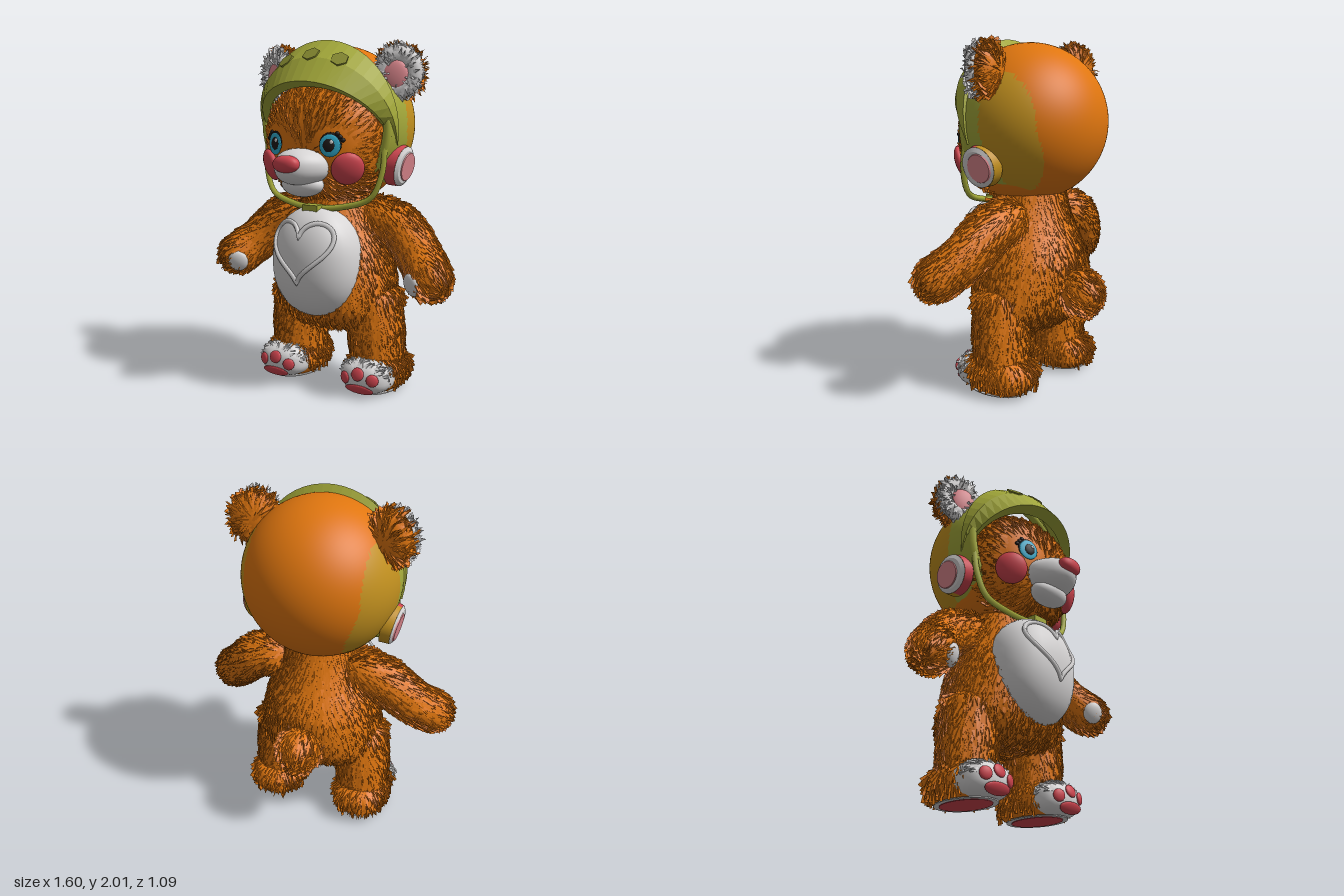
import * as THREE from 'three';
import { mergeVertices } from 'three/addons/utils/BufferGeometryUtils.js';

const V = (x, y, z) => new THREE.Vector3(x, y, z);
const { lerp, clamp } = THREE.MathUtils;
const paint = (name, color, side = THREE.FrontSide) => {
  const m = new THREE.MeshStandardMaterial({ color, side });
  m.name = name;
  return m;
};

// Small seeded generator
let seed = 7;
const rand = () => (seed = (seed * 16807) % 2147483647) / 2147483647;

// Welds seams and recomputes smooth normals
function smooth(geo) {
  geo.deleteAttribute('uv');
  geo.deleteAttribute('normal');
  const g = mergeVertices(geo, 1e-5);
  g.computeVertexNormals();
  return g;
}

// Rounded solid; e below 1 makes it boxier
function blob(c, rx, ry, rz, e = 1, seg = 28) {
  const g = new THREE.SphereGeometry(1, seg, Math.round(seg * 0.7));
  const p = g.attributes.position;
  const f = v => Math.sign(v) * Math.abs(v) ** e;
  for (let i = 0; i < p.count; i++) p.setXYZ(i, c.x + rx * f(p.getX(i)), c.y + ry * f(p.getY(i)), c.z + rz * f(p.getZ(i)));
  return smooth(g);
}

// Point and normal on the front of such a solid, raised by lift
function onBlob(c, r, e, x, y, lift) {
  const q = 2 / e, u = (x - c.x) / r.x, v = (y - c.y) / r.y;
  const w = Math.max(0.02, 1 - Math.abs(u) ** q - Math.abs(v) ** q) ** (1 / q);
  const g = (t, k) => Math.sign(t) * Math.abs(t) ** (q - 1) / k;
  const n = V(g(u, r.x), g(v, r.y), g(w, r.z)).normalize();
  return [V(x, y, c.z + w * r.z).addScaledVector(n, lift), n];
}

// Tapered tube with rounded ends
function limb(points, radii, round = 0.2) {
  const curve = new THREE.CatmullRomCurve3(points), n = 26, sides = 20;
  const g = new THREE.TubeGeometry(curve, n, 1, sides), p = g.attributes.position;
  for (let i = 0; i <= n; i++) {
    const u = i / n, c = curve.getPointAt(u), k = Math.min(u * (radii.length - 1), radii.length - 1.001);
    const d = Math.max(0, 1 - Math.min(u, 1 - u) / round);
    const r = lerp(radii[Math.floor(k)], radii[Math.floor(k) + 1], k % 1) * Math.sqrt(Math.max(1e-6, 1 - d * d));
    for (let j = 0; j <= sides; j++) {
      const id = i * (sides + 1) + j, q = V().fromBufferAttribute(p, id).sub(c).multiplyScalar(r).add(c);
      p.setXYZ(id, q.x, q.y, q.z);
    }
  }
  return smooth(g);
}

// Scatters short raised tufts over a surface, combed along flow(p)
function tufts(geo, flow, keep = () => true, density = 1900, len = 0.065) {
  const g = geo.toNonIndexed(), p = g.attributes.position, out = [];
  const [a, b, c] = [V(), V(), V()];
  for (let i = 0; i < p.count; i += 3) {
    [a, b, c].forEach((v, k) => v.fromBufferAttribute(p, i + k));
    const n = b.clone().sub(a).cross(c.clone().sub(a)), area = n.length() / 2;
    if (area < 1e-9) continue;
    n.normalize();
    const count = Math.floor(area * density + rand());
    for (let k = 0; k < count; k++) {
      let u = rand(), v = rand();
      if (u + v > 1) { u = 1 - u; v = 1 - v; }
      const o = a.clone().addScaledVector(b.clone().sub(a), u).addScaledVector(c.clone().sub(a), v);
      if (!keep(o)) continue;
      const d = flow(o).normalize().add(V(rand() - 0.5, rand() - 0.5, rand() - 0.5).multiplyScalar(0.5));
      d.addScaledVector(n, -d.dot(n)).normalize();
      const s = d.clone().cross(n), l = len * (0.6 + 0.7 * rand()), w = 0.007 + 0.005 * rand();
      const L = o.clone().addScaledVector(s, -w), R = o.clone().addScaledVector(s, w);
      const B = o.clone().addScaledVector(d, l).addScaledVector(n, -0.012);
      const T = B.clone().addScaledVector(n, 0.02);
      for (const q of [L, R, T, R, B, T, B, L, T]) out.push(q.x, q.y, q.z);
    }
  }
  const t = new THREE.BufferGeometry();
  t.setAttribute('position', new THREE.Float32BufferAttribute(out, 3));
  t.computeVertexNormals();
  return t;
}

export function createModel() {
  const orange = paint('orange', 0xe0760f), green = paint('olive green', 0xa4a93a, THREE.DoubleSide);
  const gold = paint('gold', 0xc3911f), white = paint('white', 0xd8d6d6), red = paint('red', 0xd0454f);
  const pink = paint('pink', 0xe08a90), blue = paint('blue', 0x33b0d2), black = paint('black', 0x1e1a1a);
  const darkGreen = paint('dark olive', 0x868a30);
  const model = new THREE.Group();
  const add = (name, geo, mat, parent = model) => {
    const m = new THREE.Mesh(geo, mat);
    m.name = name;
    parent.add(m);
    return m;
  };
  const furry = (name, geo, mat, flow, keep, parent = model, density, len) => {
    add(name, geo, mat, parent);
    add(name + 'Fur', tufts(geo, flow, keep, density, len), mat, parent);
  };
  // Thin disc lying against a surface, facing along n
  const patch = (name, [pos, n], rx, ry, mat, depth = 0.008) => {
    const m = add(name, new THREE.SphereGeometry(1, 20, 12), mat);
    m.position.copy(pos);
    m.scale.set(rx, ry, depth);
    m.quaternion.setFromUnitVectors(V(0, 0, 1), n.clone().normalize());
  };
  const down = p => V(p.x * 0.5, -1, 0);

  // Torso, rounder in depth towards the chest
  const profile = new THREE.SplineCurve([[0.001, 0.325], [0.25, 0.355], [0.36, 0.45], [0.368, 0.6], [0.322, 0.8],
    [0.26, 0.95], [0.22, 1.08], [0.2, 1.2]].map(q => new THREE.Vector2(...q))).getPoints(28);
  const torso = new THREE.LatheGeometry(profile, 36), tp = torso.attributes.position;
  for (let i = 0; i < tp.count; i++) {
    tp.setZ(i, tp.getZ(i) * lerp(0.74, 1, clamp((tp.getY(i) - 0.4) / 0.35, 0, 1)) - 0.03);
  }
  furry('torso', smooth(torso), orange, down);
  furry('tail', blob(V(0, 0.575, -0.4), 0.125, 0.138, 0.125), orange, p => V(p.x, -0.3, -0.5));

  // Belly patch with a raised heart outline
  const bc = V(0, 0.757, 0.19), br = V(0.27, 0.32, 0.22);
  add('belly', blob(bc, br.x, br.y, br.z, 0.93), white);
  const heart = [];
  for (let i = 0; i < 48; i++) {
    const t = i / 48 * Math.PI * 2, x = 0.19 * Math.sin(t) ** 3;
    const y = 0.86 + 0.0115 * (13 * Math.cos(t) - 5 * Math.cos(2 * t) - 2 * Math.cos(3 * t) - Math.cos(4 * t));
    heart.push(onBlob(bc, br, 0.93, x, y, 0.002)[0]);
  }
  add('heartOutline', new THREE.TubeGeometry(new THREE.CatmullRomCurve3(heart, true), 96, 0.014, 5, true), white);

  // Head
  const hc = V(0, 1.435, 0), hr = V(0.378, 0.352, 0.36), he = 0.84;
  const onFace = (x, y, lift) => onBlob(hc, hr, he, x, y, lift);
  const clearOfEyes = p => p.z > 0.08 && [-1, 1].every(s => Math.hypot(p.x - s * 0.17, p.y - 1.415) > 0.105);
  furry('head', blob(hc, hr.x, hr.y, hr.z, he, 40), orange, p => V(p.x, p.y - 1.36, 0), clearOfEyes);

  // Muzzle, narrowing towards the nose
  const muzzle = blob(V(0, 1.31, 0.36), 0.162, 0.1, 0.155, 0.9), mp = muzzle.attributes.position;
  for (let i = 0; i < mp.count; i++) mp.setX(i, mp.getX(i) * (1 - 2 * clamp(mp.getZ(i) - 0.36, 0, 0.2)));
  muzzle.computeVertexNormals();
  add('muzzle', muzzle, white);
  add('chin', blob(V(0, 1.21, 0.34), 0.13, 0.068, 0.08), white);
  add('nose', blob(V(0, 1.333, 0.495), 0.08, 0.047, 0.045, 0.9), red);

  // Helmet shell, coloured by region
  const shell = new THREE.SphereGeometry(0.45, 72, 52, 0, Math.PI * 2, 1.23, Math.PI - 1.23)
    .rotateX(Math.PI / 2).translate(0, 1.53, -0.03).toNonIndexed();
  const sp = shell.attributes.position;
  for (let i = 0; i < sp.count; i += 3) {
    const c = V();
    for (let k = 0; k < 3; k++) c.add(V().fromBufferAttribute(sp, i + k).divideScalar(3));
    const low = clamp((1.5 - c.y) / 0.3, 0, 1), side = Math.abs(c.x) > 0.33 - 0.12 * low;
    const front = c.z > -0.035 - 0.07 * low;
    shell.addGroup(i, 3, side ? (front ? 0 : 1) : (front && c.y < 1.4 ? 0 : 2));
  }
  add('helmetShell', shell, [green, gold, orange]);
  add('helmetRim', new THREE.TorusGeometry(0.405, 0.026, 8, 48).translate(0, 1.53, 0.115), green);
  const strap = [[0.39, 1.45, 0.115], [0.385, 1.27, 0.14], [0.325, 1.135, 0.16], [0.17, 1.08, 0.19]];
  add('chinStrap', new THREE.TubeGeometry(new THREE.CatmullRomCurve3([...strap.map(q => V(...q)), V(0, 1.065, 0.215),
    ...strap.reverse().map(([x, y, z]) => V(-x, y, z))]), 48, 0.018, 6), green);
  add('strapBuckle', new THREE.BoxGeometry(0.1, 0.035, 0.07).translate(0, 1.07, 0.24), green);

  // Visor: rows are [half width, base y, rise, base z, forward reach]
  const rows = [[0.42, 1.53, 0.42, 0.05, 0.04], [0.45, 1.53, 0.47, 0.07, 0.055], [0.445, 1.52, 0.38, 0.1, 0.17],
    [0.4, 1.5, 0.27, 0.1, 0.27], [0.37, 1.5, 0.24, 0.08, 0.22]];
  const visorAt = (r, a) => V(r[0] * Math.sin(a), r[1] + r[2] * Math.cos(a), r[3] + r[4] * Math.cos(a));
  const vp = [], vi = [], cols = 28;
  rows.forEach((r, j) => {
    for (let i = 0; i <= cols; i++) {
      vp.push(...visorAt(r, (i / cols * 2 - 1) * 1.8).toArray());
      if (j && i) {
        const d = j * (cols + 1) + i, u = d - cols - 1;
        vi.push(u - 1, d - 1, u, u, d - 1, d);
      }
    }
  });
  let visor = new THREE.BufferGeometry();
  visor.setAttribute('position', new THREE.Float32BufferAttribute(vp, 3));
  visor.setIndex(vi);
  visor = visor.toNonIndexed();
  visor.computeVertexNormals();
  add('visor', visor, green);

  // Six-sided visor vents
  for (const a of [-0.4, 0, 0.4]) {
    const pos = visorAt(rows[1], a).lerp(visorAt(rows[2], a), 0.85);
    const n = V(Math.sin(a) * 0.75, 0.76 * Math.cos(a), 0.65).normalize();
    const vent = add('visorVent', new THREE.CylinderGeometry(0.05, 0.05, 0.009, 6).rotateX(Math.PI / 2), darkGreen);
    vent.position.copy(pos).addScaledVector(n, 0.003);
    vent.quaternion.setFromUnitVectors(V(0, 0, 1), n);
  }

  for (const s of [1, -1]) {
    const side = s > 0 ? 'left' : 'right';

    // Eyes, lashes and cheeks
    patch(side + 'EyeOutline', onFace(s * 0.178, 1.437, 0.005), 0.061, 0.063, black);
    patch(side + 'Iris', onFace(s * 0.175, 1.428, 0.01), 0.058, 0.061, blue);
    patch(side + 'Pupil', onFace(s * 0.17, 1.43, 0.015), 0.033, 0.036, black);
    patch(side + 'EyeGlint', onFace(s * 0.17 + 0.014, 1.448, 0.021), 0.01, 0.011, white, 0.005);
    for (let k = 0; k < 3; k++) patch(side + 'Lash', onFace(s * (0.21 + k * 0.013), 1.492 - k * 0.017, 0.01), 0.013, 0.012, black);
    patch(side + 'Cheek', onFace(s * 0.25, 1.305, 0.004), 0.092, 0.092, red, 0.038);

    // Ear
    const ear = new THREE.Group();
    ear.name = side + 'Ear';
    ear.position.set(s * 0.4, 1.82, -0.03);
    ear.rotation.y = s * 0.35;
    const out = p => V(p.x, p.y, 0);
    furry('earBack', blob(V(0, 0, -0.025), 0.132, 0.148, 0.085), orange, out, p => p.z < 0.01, ear);
    furry('earRim', smooth(new THREE.TorusGeometry(0.085, 0.047, 12, 32).scale(1, 1.1, 0.95).translate(0, 0, 0.025)),
      white, out, p => p.z > 0, ear, 1700, 0.045);
    add('innerEar', blob(V(-s * 0.025, -0.02, 0.05), 0.082, 0.092, 0.025), pink, ear);
    model.add(ear);

    // Ear cup, leaning with the helmet
    const cup = new THREE.Group();
    cup.name = side + 'EarCup';
    const disc = (name, r1, r2, h, x, mat, start = 0, arc = Math.PI * 2, open = false) => add(name,
      new THREE.CylinderGeometry(r1, r2, h, 24, 1, open, start, arc).rotateZ(-s * Math.PI / 2).translate(s * x, 0, 0), mat, cup);
    disc('cupFrontEdge', 0.114, 0.122, 0.06, 0.01, red, -Math.PI / 2, Math.PI, true);
    disc('cupBackEdge', 0.114, 0.122, 0.06, 0.01, gold, Math.PI / 2, Math.PI, true);
    disc('cupFace', 0.092, 0.114, 0.014, 0.047, white);
    disc('cupCentre', 0.078, 0.084, 0.008, 0.055, pink).position.z = -0.018;
    cup.position.set(s * 0.4, 1.31, -0.02);
    cup.rotation.z = -s * 0.2;
    model.add(cup);

    // Arm with palm pad
    furry(side + 'Arm', limb([V(s * 0.13, 1.01, -0.07), V(s * 0.38, 0.955, -0.06), V(s * 0.55, 0.81, 0), V(s * 0.725, 0.64, 0.16)],
      [0.13, 0.138, 0.13, 0.132]), orange, () => V(s * 0.7, -0.6, 0.3));
    patch(side + 'PalmPad', [V(s * 0.592, 0.685, 0.178), V(-s * 0.45, -0.25, 0.85)], 0.062, 0.066, white, 0.03);

    // Leg and foot
    furry(side + 'Leg', limb([V(s * 0.23, 0.62, -0.02), V(s * 0.264, 0.35, -0.03), V(s * 0.275, 0.04, -0.045)],
      [0.17, 0.17, 0.155], 0.18), orange, down, p => p.y > 0.09);
    const foot = blob(V(s * 0.28, 0.1, -0.035), 0.162, 0.12, 0.22, 0.78);
    const fp = foot.attributes.position;
    for (let i = 0; i < fp.count; i++) fp.setY(i, Math.max(0.008, fp.getY(i)));
    furry(side + 'Foot', foot, orange, p => V(p.x - s * 0.28, -0.5, p.z), p => p.y > 0.07 && p.z < 0.1);
    const toe = V(s * 0.285, 0.102, 0.085), tr = V(0.155, 0.1, 0.14);
    furry(side + 'Toe', blob(toe, tr.x, tr.y, tr.z, 0.78), white, p => V(p.x - toe.x, p.y - toe.y, 0),
      p => p.y > 0.12 && p.z > 0.1 && p.z < 0.2, model, 1400, 0.04);
    for (const [x, y, rx, ry] of [[-0.088, 0.0, 0.036, 0.036], [0, 0.035, 0.04, 0.038], [0.088, 0.01, 0.036, 0.036], [0.005, -0.055, 0.09, 0.036]]) {
      patch(side + 'ToePad', onBlob(toe, tr, 0.78, toe.x + s * x, toe.y + y, 0.002), rx, ry, red, 0.014);
    }
    const sole = (name, rx, rz, y, mat) => add(name, new THREE.CylinderGeometry(1, 1, 0.006, 24).scale(rx, 1, rz).translate(s * 0.28, y, -0.02), mat);
    sole(side + 'SoleRim', 0.14, 0.195, 0.006, white);
    sole(side + 'SolePad', 0.112, 0.165, 0.003, red);
  }
  return model;
}
